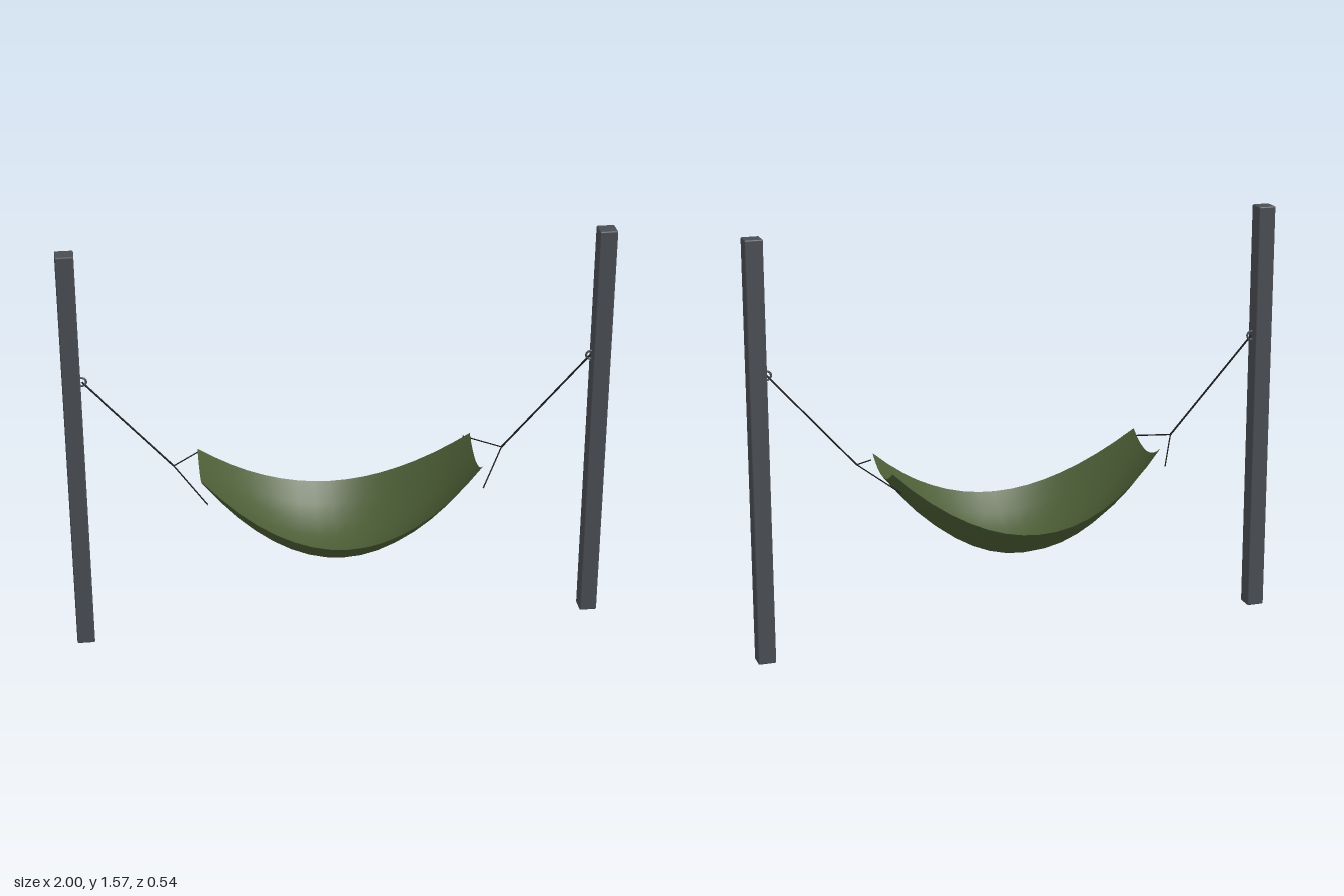
import * as THREE from 'three';
import { RoundedBoxGeometry } from 'three/addons/geometries/RoundedBoxGeometry.js';

const postMat = new THREE.MeshStandardMaterial({ color: 0x4a4e54 });
const clothMat = new THREE.MeshStandardMaterial({ color: 0x4b5d35, side: THREE.DoubleSide });
const ropeMat = new THREE.MeshStandardMaterial({ color: 0x1c1c1c });

function part(name, geometry, material) {
  const mesh = new THREE.Mesh(geometry, material);
  mesh.name = name;
  return mesh;
}

// Straight cord between two points
function cord(name, a, b, radius) {
  const path = new THREE.LineCurve3(new THREE.Vector3(...a), new THREE.Vector3(...b));
  return part(name, new THREE.TubeGeometry(path, 1, radius, 6), ropeMat);
}

// Sagging sheet: parabolic along its length and across its width, narrower at the ends
function hammockCloth() {
  const geo = new THREE.PlaneGeometry(2, 2, 16, 8);
  geo.rotateX(-Math.PI / 2);
  const pos = geo.attributes.position;
  for (let i = 0; i < pos.count; i++) {
    const u = pos.getX(i), v = pos.getZ(i);
    const halfWidth = 0.27 - 0.132 * u * u;
    const middle = 0.325 + 0.335 * u * u;
    const rim = 0.47 + 0.24 * u * u;
    pos.setXYZ(i, 0.515 * u, middle + (rim - middle) * v * v, halfWidth * v);
  }
  geo.computeVertexNormals();
  return part('hammockCloth', geo, clothMat);
}

export function createModel() {
  const group = new THREE.Group();
  group.name = 'hammock';
  group.add(hammockCloth());

  for (const [label, s] of [['left', 1], ['right', -1]]) {
    const side = new THREE.Group();
    side.name = label + 'Support';

    // Square post with softened edges
    const post = part('post', new RoundedBoxGeometry(0.066, 1.57, 0.066, 2, 0.005), postMat);
    post.position.set(s * 0.967, 0.785, 0);

    // Eye ring on the inner face of the post
    const ring = part('eyeRing', new THREE.TorusGeometry(0.016, 0.004, 8, 20), postMat);
    ring.position.set(s * 0.93, 1.075, 0);
    side.add(post, ring);

    // Main rope, splitting into two cords towards the cloth corners
    const knot = [s * 0.61, 0.715, 0];
    side.add(cord('mainRope', [s * 0.93, 1.075, 0], knot, 0.0035));
    for (const z of [-0.213, 0.213]) {
      side.add(cord('spreaderCord', knot, [s * 0.503, 0.66, z], 0.0025));
    }
    group.add(side);
  }
  return group;
}
